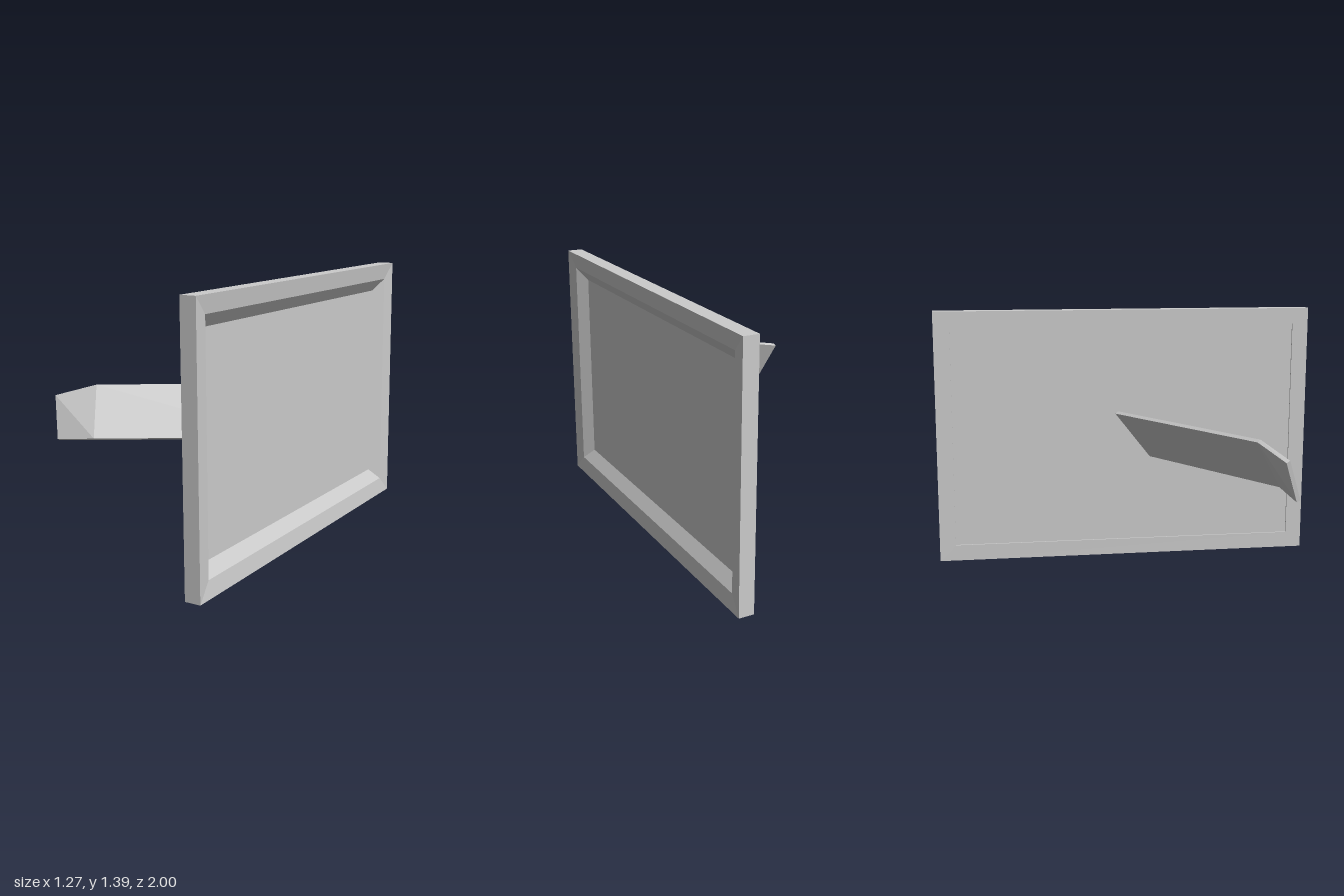
import * as THREE from 'three';

const material = new THREE.MeshStandardMaterial({ color: 0xcccccc, flatShading: true });

// Joins four-cornered loops into a flat-shaded skin, either closed on itself or capped.
function loft(name, loops, closed) {
  const pos = [];
  const quad = (a, b, c, d) => pos.push(...a, ...b, ...c, ...a, ...c, ...d);
  const last = closed ? loops.length : loops.length - 1;
  for (let i = 0; i < last; i++) {
    const s = loops[i], n = loops[(i + 1) % loops.length];
    for (let k = 0; k < 4; k++) {
      const j = (k + 1) % 4;
      quad(s[k], s[j], n[j], n[k]);
    }
  }
  if (!closed) {
    const s = loops[0], e = loops[loops.length - 1];
    quad(s[3], s[2], s[1], s[0]);
    quad(e[0], e[1], e[2], e[3]);
  }
  const geo = new THREE.BufferGeometry();
  geo.setAttribute('position', new THREE.Float32BufferAttribute(pos, 3));
  geo.computeVertexNormals();
  const mesh = new THREE.Mesh(geo, material);
  mesh.name = name;
  return mesh;
}

export function createModel() {
  const model = new THREE.Group();
  model.name = 'standingPictureFrame';

  const W = 2.082, H = 1.39;
  const picture = new THREE.Group();
  picture.name = 'picture';
  picture.position.set(0.297, 0, -0.015);
  picture.rotation.y = Math.atan2(0.946, -0.324);
  model.add(picture);

  // Mitred frame: rectangles given by inset from the rim and depth from the front
  const rect = ([inset, depth]) => {
    const x = W / 2 - inset;
    return [[-x, inset, -depth], [x, inset, -depth], [x, H - inset, -depth], [-x, H - inset, -depth]];
  };
  const profile = [
    [0, 0], [0.088, 0.012], [0.153, 0.06], [0.153, 0.074],
    [0.088, 0.074], [0.088, 0.084], [0, 0.084],
  ];
  picture.add(loft('frame', profile.map(rect), true));

  // Picture panel, set back at the front and slightly recessed at the rear
  const panel = new THREE.Mesh(new THREE.BoxGeometry(W - 0.306, H - 0.306, 0.014), material);
  panel.name = 'panel';
  panel.position.set(0, H / 2, -0.067);
  picture.add(panel);

  // Bent support strip: lower and upper edge of the face, and thickness offset
  const section = ([low, high, t]) => {
    const back = (p) => p.map((v, i) => v - t[i]);
    return [low, high, back(high), back(low)];
  };
  const sections = [
    [[0.275, 0.578, 0.16], [0.208, 0.827, -0.024], [0.012, 0.012, 0.012]],
    [[-0.328, 0.579, 0.905], [-0.458, 0.827, 0.798], [0.013, 0.012, 0.012]],
    [[-0.53, 0.555, 0.998], [-0.626, 0.765, 0.946], [0.012, 0.01, 0.016]],
  ];
  model.add(loft('supportLeg', sections.map(section), false));

  return model;
}
